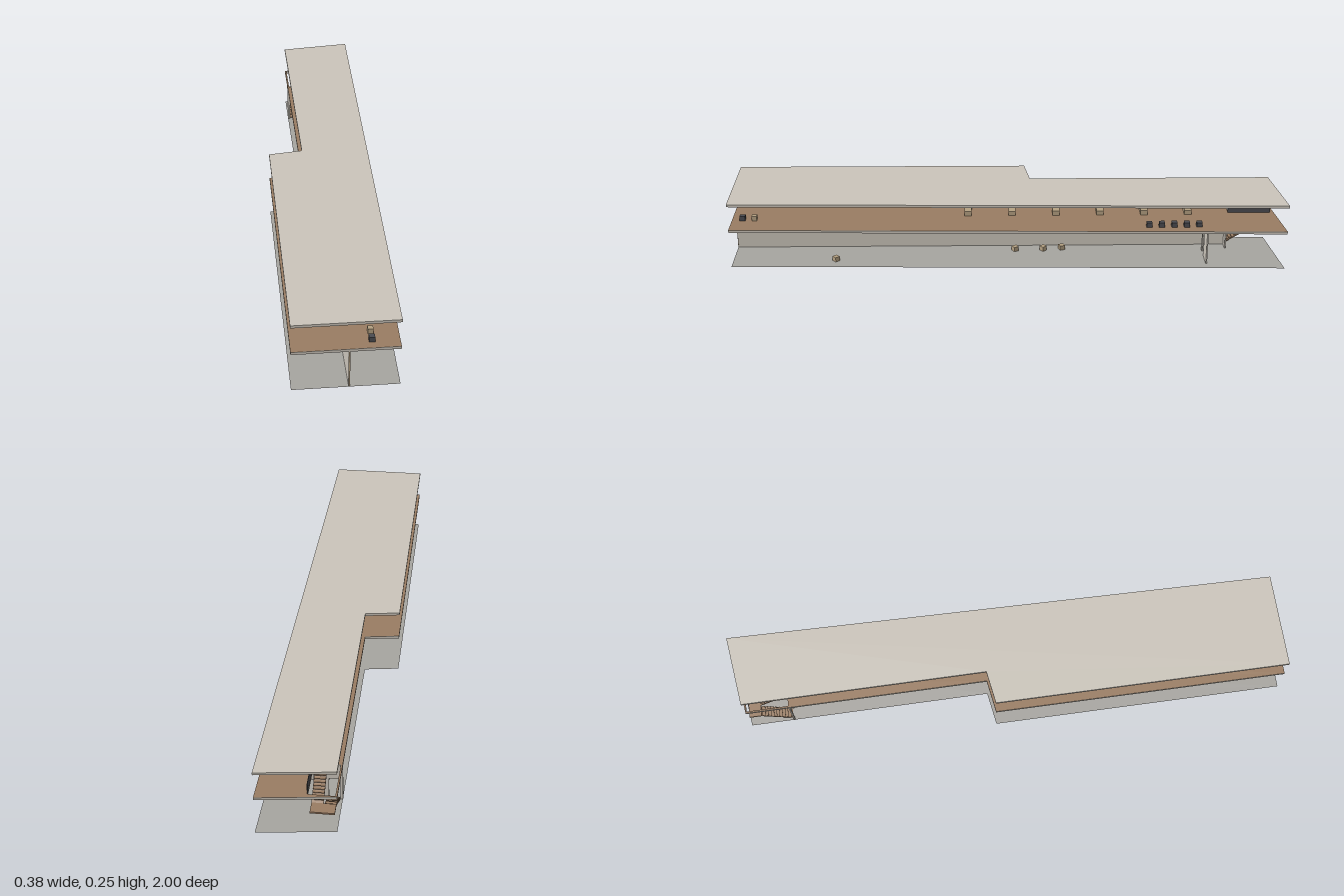
import * as THREE from 'three';

const mat = (name, color, side = THREE.FrontSide) => {
  const m = new THREE.MeshStandardMaterial({ color, side });
  m.name = name;
  return m;
};

export function createModel() {
  const plaster = mat('plaster', 0xcac4ba);
  const wood = mat('wood', 0x997c62);
  const woodSheet = mat('woodSheet', 0x997c62);
  const tan = mat('tan', 0xb5a182);
  const dark = mat('dark', 0x4a4b50);
  const ground = mat('ground', 0xa6a49f, THREE.DoubleSide);

  const model = new THREE.Group();
  model.name = 'building';
  const add = (name, geo, material, x = 0, y = 0, z = 0, parent = model) => {
    const mesh = new THREE.Mesh(geo, material);
    mesh.name = name;
    mesh.position.set(x, y, z);
    parent.add(mesh);
    return mesh;
  };
  // Box given by its min and max along each axis
  const block = (name, material, [x0, x1], [y0, y1], [z0, z1], parent) =>
    add(name, new THREE.BoxGeometry(x1 - x0, y1 - y0, z1 - z0), material,
      (x0 + x1) / 2, (y0 + y1) / 2, (z0 + z1) / 2, parent);

  // Stepped floor plan shared by ground, floor and roof (x, z)
  const corners = [[-0.193, 1], [0.152, 1], [0.192, -1], [-0.068, -0.968], [-0.068, -0.085], [-0.19, -0.067]];
  const well = [[-0.062, -0.812], [0.025, -0.812], [0.025, -0.965], [-0.062, -0.965]];
  const toPoints = (list) => list.map(([x, z]) => new THREE.Vector2(x, -z));
  const plan = (withWell) => {
    const s = new THREE.Shape(toPoints(corners));
    if (withWell) s.holes.push(new THREE.Path(toPoints(well)));
    return s;
  };
  const slab = (withWell, depth) =>
    new THREE.ExtrudeGeometry(plan(withWell), { depth, bevelEnabled: false }).rotateX(-Math.PI / 2);

  // Ground sheet, upper floor with stairwell, roof
  add('groundSheet', new THREE.ShapeGeometry(plan(false)).rotateX(-Math.PI / 2), ground);
  add('upperFloorSlab', slab(true, 0.0095), plaster, 0, 0.136, 0);
  add('upperFloorBoards', new THREE.ShapeGeometry(plan(true)).rotateX(-Math.PI / 2), woodSheet, 0, 0.1462, 0);
  add('roofSlab', slab(false, 0.0095), plaster, 0, 0.237, 0);

  // Long dividing wall with its end trim
  block('dividingWall', plaster, [-0.012, -0.008], [0.001, 0.136], [-0.81, 0.998]);
  block('wallEndTrim', tan, [-0.0125, -0.0075], [0.001, 0.136], [0.998, 1]);

  // Cross walls, each with one doorway
  const crossWall = (name, x0, x1, d0, d1, z) => {
    const y0 = 0.001, y1 = 0.136, top = 0.085;
    const s = new THREE.Shape(
      [[x0, y0], [d0, y0], [d0, top], [d1, top], [d1, y0], [x1, y0], [x1, y1], [x0, y1]]
        .map(([x, y]) => new THREE.Vector2(x, y)));
    add(name, new THREE.ExtrudeGeometry(s, { depth: 0.005, bevelEnabled: false }), plaster, 0, 0, z);
  };
  crossWall('stairCrossWall', -0.069, 0.027, -0.06, -0.023, -0.812);
  crossWall('sideCrossWall', 0.033, 0.152, 0.048, 0.087, -0.725);

  // Switchback stair: two sloped flights with open treads, and a landing
  const stair = new THREE.Group();
  stair.name = 'stair';
  model.add(stair);
  const zWall = -0.814, zLand = -0.92, steps = 11;
  block('landing', wood, [-0.06, 0.02], [0.067, 0.073], [-0.965, zLand], stair);
  const flight = (name, x0, x1, yWall, yLand) => {
    const dz = zLand - zWall, dy = yLand - yWall;
    const length = Math.hypot(dz, dy);
    const ramp = add(name, new THREE.BoxGeometry(x1 - x0, 0.004, length), wood,
      (x0 + x1) / 2, (yWall + yLand) / 2, (zWall + zLand) / 2, stair);
    ramp.rotation.x = Math.atan2(dy, -dz);
    for (let i = 1; i < steps; i++) {
      const t = i / steps, y = yWall + dy * t + 0.006, z = zWall + dz * t;
      block('tread', wood, [x0, x1], [y - 0.001, y + 0.001], [z - 0.005, z + 0.005], stair);
    }
  };
  flight('lowerFlight', -0.06, -0.023, 0.003, 0.069);
  flight('upperFlight', -0.019, 0.02, 0.138, 0.07);
  block('stairGuard', dark, [0.0255, 0.0275], [0.147, 0.187], [-0.965, -0.81], stair);

  // Upper floor furniture: long tables and a row of small dark seats
  const floorY = 0.1464;
  for (let i = 0; i < 6; i++) {
    const z = 0.143 - i * 0.161;
    block('table', tan, [-0.02, 0.042], [floorY, 0.164], [z - 0.013, z + 0.013]);
  }
  for (let i = 0; i < 5; i++) {
    const z = -0.51 - i * 0.045;
    block('seat', dark, [0.131, 0.15], [floorY, 0.164], [z - 0.01, z + 0.01]);
  }
  block('frontSeat', dark, [0.054, 0.073], [floorY, 0.164], [0.951, 0.971]);
  block('frontStool', tan, [0.055, 0.073], [floorY, 0.164], [0.909, 0.927]);

  // Ground floor stools, turned at odd angles
  const stools = [[0.108, 0.625, 0.75], [0.033, -0.03, 0.5], [0.032, -0.133, 0.7], [0.024, -0.202, 0.35]];
  for (const [x, z, turn] of stools) {
    add('stool', new THREE.BoxGeometry(0.019, 0.017, 0.019), tan, x, 0.0095, z).rotation.y = turn;
  }
  return model;
}
